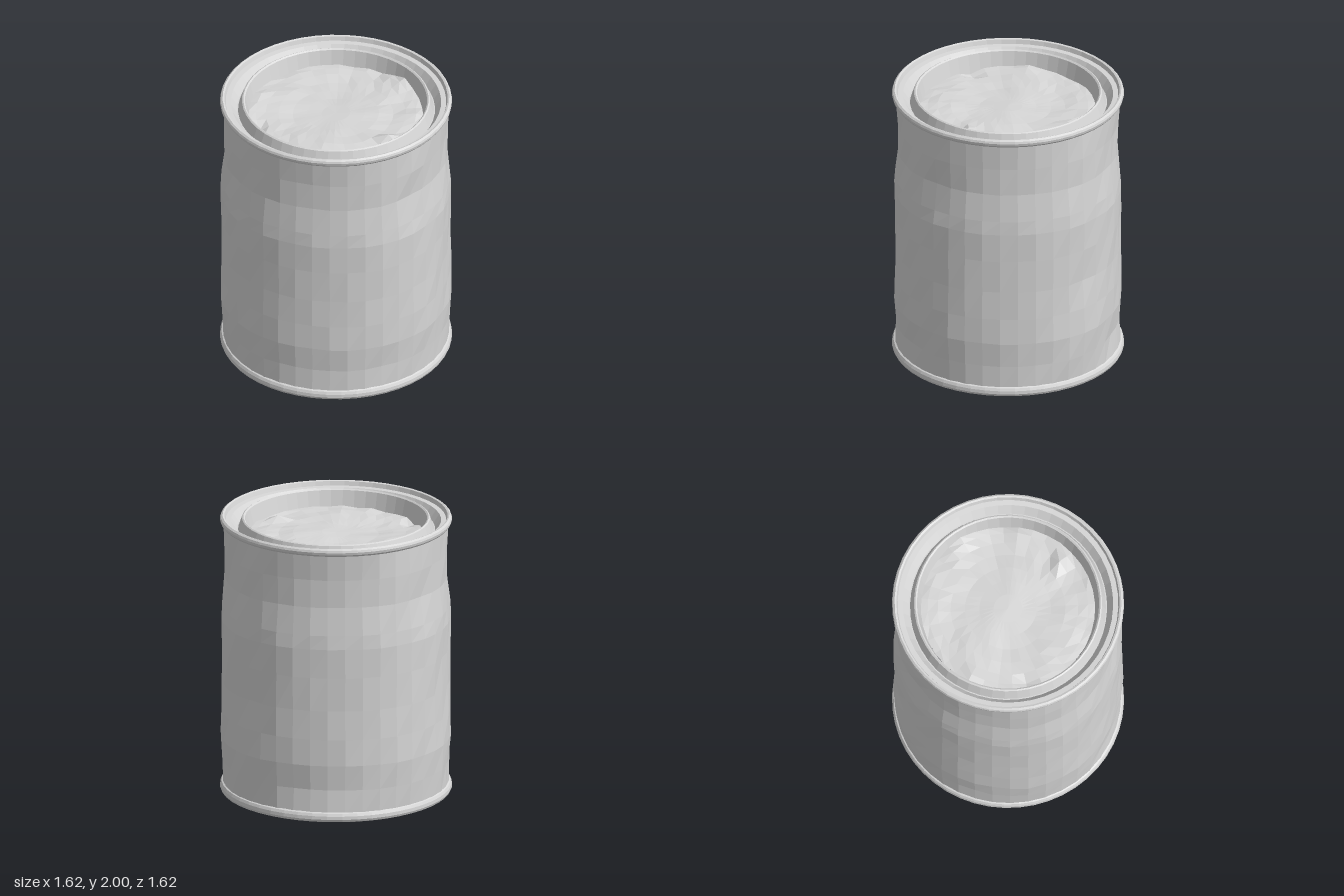
import * as THREE from 'three';

const SIDES = 48;
const WALL_SIDES = 40;

// Revolve a list of [radius, height] pairs
function lathe(profile, sides = SIDES) {
  return new THREE.LatheGeometry(profile.map(([r, y]) => new THREE.Vector2(r, y)), sides);
}

// Move every vertex by a rule
function reshape(geometry, rule) {
  const p = geometry.attributes.position;
  const v = new THREE.Vector3();
  for (let i = 0; i < p.count; i++) {
    v.fromBufferAttribute(p, i);
    rule(v, i);
    p.setXYZ(i, v.x, v.y, v.z);
  }
  geometry.computeVertexNormals();
  return geometry;
}

const bump = (d, width) => Math.exp(-(d * d) / (width * width));

export function createModel() {
  const group = new THREE.Group();
  const metal = new THREE.MeshStandardMaterial({ color: 0xd6d6d6, flatShading: true });
  metal.name = 'bareMetal';

  function add(name, geometry) {
    const mesh = new THREE.Mesh(geometry, metal);
    mesh.name = name;
    group.add(mesh);
  }

  // Dented wall: mean radius per row, slightly squared, with slanted ripples and dents
  const rows = [
    [0.787, 0.05], [0.793, 0.23], [0.806, 0.41], [0.803, 0.6], [0.8, 0.81], [0.801, 1.05],
    [0.804, 1.26], [0.798, 1.36], [0.779, 1.56], [0.781, 1.76], [0.786, 1.96],
  ];
  // Dents as [angle from the front towards +x, height, depth]
  const dents = [
    [0.95, 1.5, 0.025], [0.75, 0.25, 0.015], [2.4, 0.8, 0.015], [2.9, 0.22, 0.015], [-2.2, 1.56, 0.01],
  ];
  add('dentedWall', reshape(lathe(rows, WALL_SIDES), (v, i) => {
    // Each row turns by one side, so the facets lean to the right
    const a = Math.atan2(v.x, v.z) + ((i % rows.length) * 2 * Math.PI) / WALL_SIDES;
    const fade = Math.max(0, Math.min(1, (v.y - 0.05) / 0.18, (1.96 - v.y) / 0.18));
    let offset = -0.01 * Math.cos(4 * a) - 0.005 * Math.cos(2 * a)
      + 0.003 * Math.sin(9 * a - 5 * v.y + 1) + 0.003 * Math.sin(14 * a + 11 * v.y);
    for (const [angle, y, depth] of dents) {
      const turn = Math.atan2(Math.sin(a - angle), Math.cos(a - angle));
      offset -= depth * bump(turn - 0.25 * (v.y - y), 0.22) * bump(v.y - y, 0.2);
    }
    const r = Math.hypot(v.x, v.z) + offset * fade;
    v.x = r * Math.sin(a);
    v.z = r * Math.cos(a);
  }));

  // Base: shallow panel and rolled seam
  add('base', lathe([
    [0, 0.022], [0.68, 0.022], [0.705, 0.002], [0.78, 0], [0.8, 0.008],
    [0.808, 0.025], [0.806, 0.048], [0.797, 0.066], [0.775, 0.078],
  ]));

  // Top: rolled seam, shelf, groove and the lip around the opening
  add('topRim', lathe([
    [0.77, 1.94], [0.795, 1.945], [0.804, 1.957], [0.808, 1.975], [0.803, 1.99], [0.79, 2],
    [0.777, 1.995], [0.768, 1.965], [0.732, 1.962], [0.69, 1.9], [0.682, 1.9],
    [0.655, 1.978], [0.645, 1.984], [0.634, 1.976], [0.6, 1.83],
  ]));

  // Crumpled sheet closing the opening
  const rings = [0.607, 0.56, 0.49, 0.4, 0.3, 0.2, 0.1, 0].map((r) => [r, 1.865]);
  add('crumpledSheet', reshape(lathe(rings, 36), (v) => {
    const { x, z } = v;
    const r = Math.hypot(x, z);
    v.y += 0.007 * Math.sin(9 * x + 4 * z) + 0.007 * Math.sin(3 * x - 13 * z + 1)
      + 0.014 * r * Math.sin(21 * x + 17 * z) * Math.cos(15 * z - 8 * x);
    // Folds near the edge
    v.y += 0.05 * bump(x - 0.42, 0.12) * bump(z - 0.24, 0.05);
    v.y += 0.04 * bump(x - 0.4, 0.1) * bump(z + 0.47, 0.07);
    v.y -= 0.04 * bump(x + 0.5, 0.08) * bump(z - 0.28, 0.06);
    v.y += 0.03 * bump(x + 0.55, 0.08) * bump(z + 0.05, 0.06);
    v.y += 0.03 * bump(x - 0.55, 0.08) * bump(z + 0.08, 0.06);
  }));

  return group;
}
